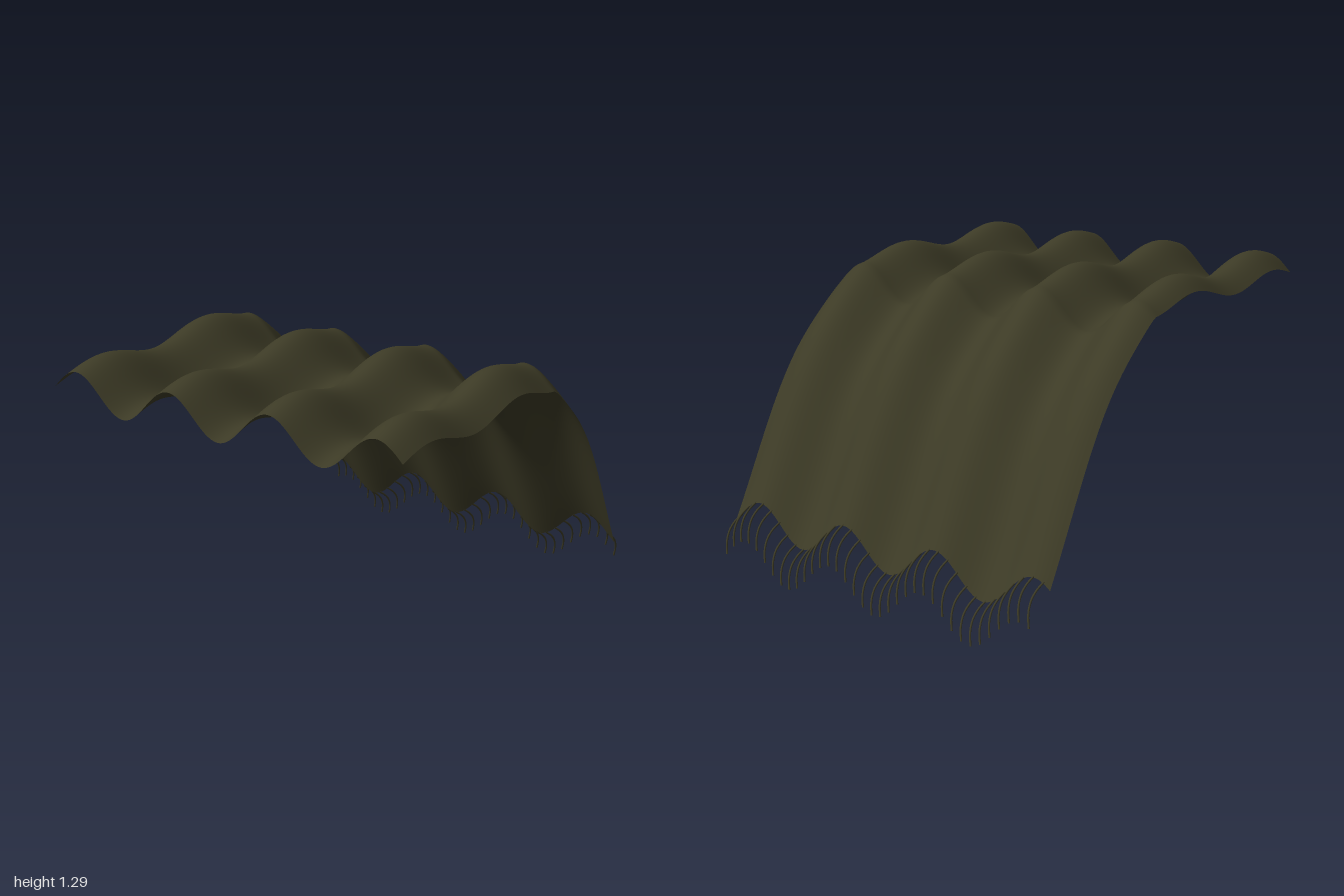
import * as THREE from 'three';

const HALF_WIDTH = 0.83, FRONT = 1, HEM = -0.9, FOLD = -0.18;

// Height of the cloth: lengthwise ripples, gentle cross waves and a drop past the fold
function clothHeight(x, z) {
  const ripple = 0.079 * Math.cos(13.2 * (x - 0.229 - 0.022 * (z - 0.47)));
  const wave = 0.03 * Math.cos(9.1 * (z - 0.13));
  const drop = z < FOLD ? 1.426 * Math.pow(FOLD - z, 1.31) : 0;
  return 1.189 + ripple + wave - drop;
}

// Rippled sheet made by lifting a flat grid
function createCloth(material) {
  const geometry = new THREE.PlaneGeometry(2 * HALF_WIDTH, FRONT - HEM, 110, 95);
  geometry.rotateX(-Math.PI / 2);
  geometry.translate(0, 0, (FRONT + HEM) / 2);
  const p = geometry.attributes.position;
  for (let i = 0; i < p.count; i++) p.setY(i, clothHeight(p.getX(i), p.getZ(i)));
  geometry.computeVertexNormals();
  const cloth = new THREE.Mesh(geometry, material);
  cloth.name = 'cloth';
  return cloth;
}

// Row of curved threads hanging from the back hem
function createFringe(material) {
  const fringe = new THREE.Group();
  fringe.name = 'fringe';
  const path = new THREE.CatmullRomCurve3([
    new THREE.Vector3(0, 0.004, 0.006),
    new THREE.Vector3(0.009, -0.022, -0.03),
    new THREE.Vector3(0.013, -0.055, -0.06),
    new THREE.Vector3(0.007, -0.1, -0.085),
    new THREE.Vector3(-0.005, -0.147, -0.098),
  ]);
  const geometry = new THREE.TubeGeometry(path, 14, 0.0045, 6, false);
  const count = 36;
  for (let i = 0; i < count; i++) {
    const x = -0.798 + (i * 1.592) / (count - 1);
    const thread = new THREE.Mesh(geometry, material);
    thread.name = 'fringeThread';
    thread.position.set(x, clothHeight(x, HEM), HEM);
    fringe.add(thread);
  }
  return fringe;
}

export function createModel() {
  const olive = new THREE.MeshStandardMaterial({ color: 0x3d3b26 });
  olive.name = 'olive fabric';
  olive.side = THREE.DoubleSide;
  const blanket = new THREE.Group();
  blanket.name = 'blanket';
  blanket.add(createCloth(olive), createFringe(olive));
  return blanket;
}
